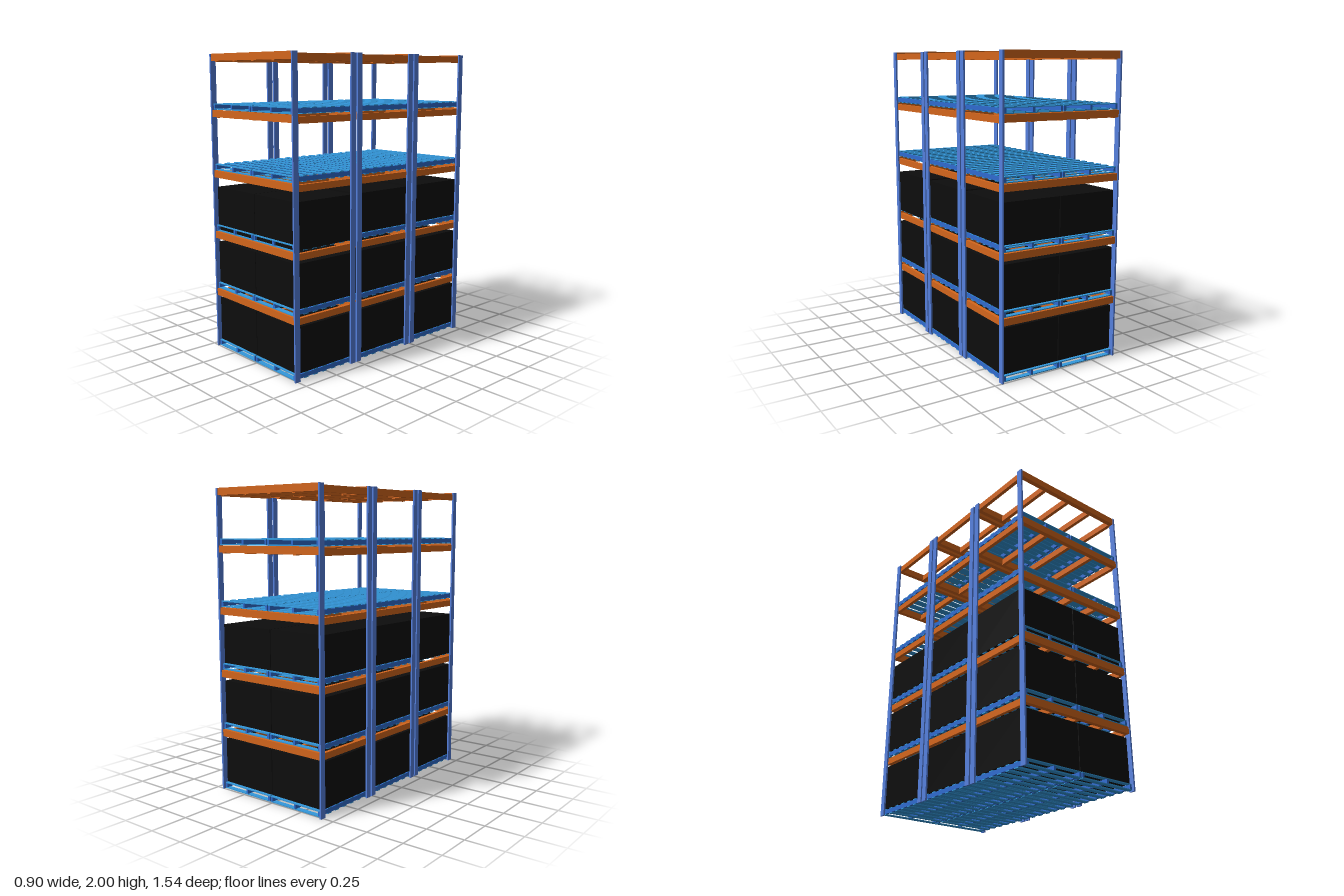
import * as THREE from 'three';

const paint = (color) => new THREE.MeshStandardMaterial({ color });
const steelBlue = paint(0x5580dd);
const orange = paint(0xd4661c);
const slatBlue = paint(0x3399dd);
const runnerBlue = paint(0x2f6bcf);
const black = paint(0x0d0d0d);

// Box given by its extents along each axis
function block(parent, name, material, [x0, x1], [y0, y1], [z0, z1]) {
  const mesh = new THREE.Mesh(new THREE.BoxGeometry(x1 - x0, y1 - y0, z1 - z0), material);
  mesh.position.set((x0 + x1) / 2, (y0 + y1) / 2, (z0 + z1) / 2);
  mesh.name = name;
  parent.add(mesh);
}
const around = (c, size) => [c - size / 2, c + size / 2];

// Pallet: three runners with seven slats above and below
function createPallet() {
  const pallet = new THREE.Group();
  pallet.name = 'pallet';
  for (const x of [-0.2, 0, 0.2]) {
    block(pallet, 'runner', runnerBlue, around(x, 0.016), [0.006, 0.034], [-0.238, 0.238]);
  }
  for (let i = -3; i <= 3; i++) {
    const z = around(i * 0.074, 0.033);
    block(pallet, 'topSlat', slatBlue, [-0.208, 0.208], [0.034, 0.04], z);
    block(pallet, 'bottomSlat', slatBlue, [-0.208, 0.208], [0, 0.006], z);
  }
  return pallet;
}

// Orange frame: front and back beams joined by five joists
function createBeamFrame(top) {
  const frame = new THREE.Group();
  frame.name = 'beamFrame';
  for (const z of [-0.23, 0.23]) {
    block(frame, 'crossBeam', orange, [-0.427, 0.427], [top - 0.046, top], around(z, 0.03));
  }
  for (let i = -2; i <= 2; i++) {
    block(frame, 'joist', orange, around(i * 0.208, 0.024), [top - 0.052, top - 0.01], [-0.216, 0.216]);
  }
  return frame;
}

function createBay(index) {
  const bay = new THREE.Group();
  bay.name = 'rackBay';

  // Flat upright posts at the corners
  for (const x of [-0.432, 0.432]) {
    for (const z of [-0.23, 0.23]) {
      block(bay, 'post', steelBlue, around(x, 0.012), [0, 2], around(z, 0.04));
    }
  }
  for (const top of [0.412, 0.815, 1.232, 1.635, 2]) bay.add(createBeamFrame(top));

  // Two pallets on every level
  for (const y of [0.005, 0.417, 0.82, 1.236, 1.638]) {
    for (const side of [-1, 1]) {
      const pallet = createPallet();
      pallet.position.set(side * 0.212, y, 0);
      bay.add(pallet);
    }
  }

  // Crates fill the three lower levels
  const shift = [0.012, 0, -0.008][index];
  const crateLevels = [[0.046, 0.345], [0.458, 0.742], [index === 2 ? 0.825 : 0.861, 1.12]];
  for (const y of crateLevels) {
    for (const side of [-1, 1]) {
      block(bay, 'crate', black, around(side * 0.212, 0.418), y, around(shift, 0.462));
    }
  }
  return bay;
}

export function createModel() {
  const model = new THREE.Group();
  model.name = 'palletRack';
  // Bays run from back to front
  for (let i = 0; i < 3; i++) {
    const bay = createBay(i);
    bay.position.z = (i - 1) * 0.513;
    model.add(bay);
  }
  model.rotation.y = -0.018;
  return model;
}
